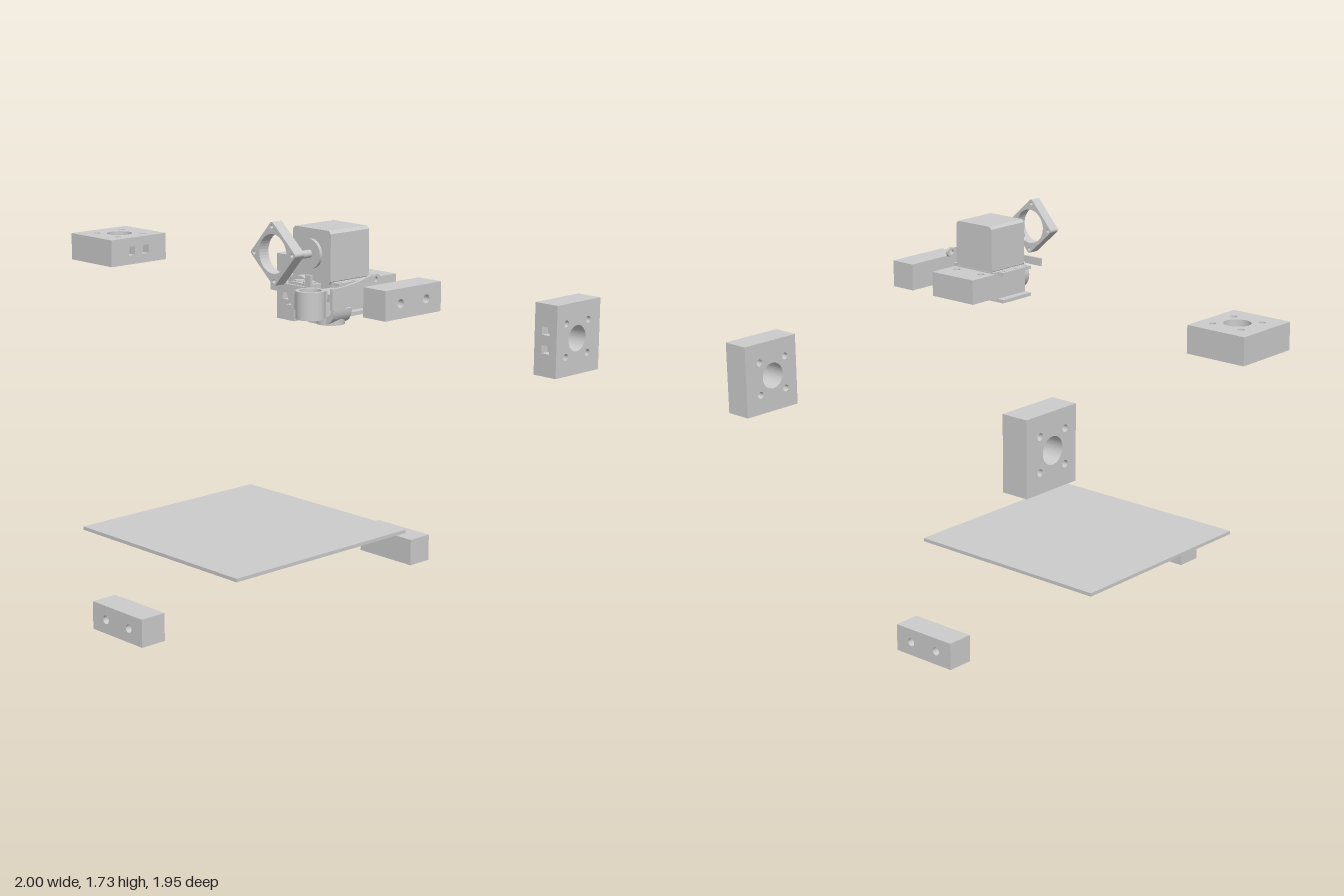
import * as THREE from 'three';

const mat = new THREE.MeshStandardMaterial({ color: 0xcccccc, side: THREE.DoubleSide });

function add(parent, name, geo, x = 0, y = 0, z = 0) {
  const m = new THREE.Mesh(geo, mat);
  m.name = name;
  m.position.set(x, y, z);
  parent.add(m);
  return m;
}

// box given by its limits on each axis
function span(parent, name, [x0, x1], [y0, y1], [z0, z1]) {
  return add(parent, name, new THREE.BoxGeometry(x1 - x0, y1 - y0, z1 - z0),
    (x0 + x1) / 2, (y0 + y1) / 2, (z0 + z1) / 2);
}

function rect(x0, x1, y0, y1, Type = THREE.Shape) {
  const s = new Type();
  s.moveTo(x0, y0); s.lineTo(x1, y0); s.lineTo(x1, y1); s.lineTo(x0, y1); s.closePath();
  return s;
}

const circle = (x, y, r) => new THREE.Path().absarc(x, y, r, 0, Math.PI * 2, true);

function slab(shape, depth, holes = []) {
  shape.holes.push(...holes);
  return new THREE.ExtrudeGeometry(shape, { depth, bevelEnabled: false, curveSegments: 20 });
}

// cylinder along z
const rod = (r, len) => new THREE.CylinderGeometry(r, r, len, 32).rotateX(Math.PI / 2);

// square mount: one big bore, four bolt holes, two nut pockets in the +x edge
function motorMount(name) {
  const g = new THREE.Group();
  g.name = name;
  const c = 0.0075, d = 0.072;
  const holes = [circle(c, 0, 0.057)];
  for (const a of [-d, d]) for (const b of [-d, d]) holes.push(circle(c + a, b, 0.015));
  add(g, 'mountBody', slab(rect(-0.1425, 0.1025, -0.157, 0.157), 0.12, holes), 0, 0, -0.06);
  const pockets = [-0.04, 0.04].map(b => rect(-0.02, 0.02, b - 0.018, b + 0.018, THREE.Path));
  add(g, 'pocketFace', slab(rect(-0.06, 0.06, -0.157, 0.157), 0.04, pockets).rotateY(Math.PI / 2), 0.1025);
  return g;
}

// bar with two blind holes in its +z face
function holder(name) {
  const g = new THREE.Group();
  g.name = name;
  span(g, 'holderBody', [-0.158, 0.158], [-0.06, 0.06], [-0.06, 0.02]);
  add(g, 'holderFace', slab(rect(-0.158, 0.158, -0.06, 0.06), 0.04,
    [circle(-0.073, 0, 0.018), circle(0.073, 0, 0.018)]), 0, 0, 0.02);
  return g;
}

function createToolhead() {
  const g = new THREE.Group();
  g.name = 'toolhead';

  // carriage with two bolt holes in its rear shelf
  const shelf = rect(0.455, 0.70, -0.12, 0.025);
  add(g, 'carriageShelf', slab(shelf, 0.11, [circle(0.505, -0.08, 0.017), circle(0.65, -0.08, 0.017)])
    .rotateX(-Math.PI / 2), 0, 1.36, 0);
  span(g, 'carriageBody', [0.465, 0.695], [1.35, 1.475], [0.12, 0.33]);
  span(g, 'carriageBase', [0.43, 0.73], [1.337, 1.352], [0.145, 0.33]);
  for (const x of [0.445, 0.715]) {
    const holes = [-0.07, 0, 0.07].map(z => circle(0, z, 0.008));
    add(g, 'clampFlange', slab(rect(-0.015, 0.015, -0.093, 0.093), 0.014, holes).rotateX(-Math.PI / 2), x, 1.462, 0.238);
  }

  // motor with chamfered long edges
  const h = 0.107, k = 0.012;
  const sq = new THREE.Shape([[-h, -h + k], [-h + k, -h], [h - k, -h], [h, -h + k], [h, h - k], [h - k, h], [-h + k, h], [-h, h - k]]
    .map(p => new THREE.Vector2(...p)));
  add(g, 'motor', slab(sq, 0.215), 0.583, 1.573, 0.122);
  add(g, 'motorBoss', rod(0.06, 0.015), 0.583, 1.58, 0.343);
  add(g, 'motorShaft', rod(0.016, 0.11), 0.583, 1.58, 0.39);

  // diamond fan frame
  const s = 0.092, r = 0.012;
  const frame = new THREE.Shape();
  [[1, 1, 0], [-1, 1, 1], [-1, -1, 2], [1, -1, 3]].forEach(([x, y, q]) =>
    frame.absarc(x * (s - r), y * (s - r), r, q * Math.PI / 2, (q + 1) * Math.PI / 2));
  const fanHoles = [circle(0, 0, 0.078)];
  for (const x of [-1, 1]) for (const y of [-1, 1]) fanHoles.push(circle(x * 0.076, y * 0.076, 0.008));
  add(g, 'fanFrame', slab(frame, 0.05, fanHoles), 0.59, 1.603, 0.505).rotation.z = Math.PI / 4 + 0.06;

  // hot end, filament guide and nozzle
  add(g, 'guideDrum', rod(0.07, 0.05), 0.545, 1.42, 0.345);
  span(g, 'hotEndBlock', [0.56, 0.70], [1.37, 1.43], [0.33, 0.38]);
  add(g, 'hotEnd', new THREE.CylinderGeometry(0.025, 0.025, 0.1, 24), 0.63, 1.43, 0.395);
  add(g, 'nozzle', new THREE.CylinderGeometry(0.022, 0.008, 0.045, 24), 0.63, 1.352, 0.395);
  add(g, 'idler', new THREE.CylinderGeometry(0.02, 0.02, 0.12, 20), 0.575, 1.42, 0.395);
  span(g, 'idlerBracket', [0.555, 0.67], [1.45, 1.475], [0.37, 0.425]);

  // ring cup in front and the blower cup behind it
  add(g, 'sensorRing', slab(new THREE.Shape().absarc(0, 0, 0.058, 0, Math.PI * 2), 0.11, [circle(0, 0, 0.044)])
    .rotateX(-Math.PI / 2), 0.77, 1.37, 0.525);
  add(g, 'blowerCup', new THREE.CylinderGeometry(0.057, 0.057, 0.12, 32), 0.765, 1.395, 0.41);
  span(g, 'blowerCap', [0.705, 0.82], [1.43, 1.46], [0.35, 0.46]);
  span(g, 'ringBracket', [0.49, 0.80], [1.44, 1.475], [0.463, 0.475]);
  span(g, 'ringTab', [0.69, 0.72], [1.46, 1.525], [0.465, 0.477]);

  // hooked duct under the cups
  const duct = new THREE.Shape();
  duct.moveTo(0.69, 1.335);
  duct.lineTo(0.77, 1.335);
  duct.quadraticCurveTo(0.833, 1.34, 0.833, 1.40);
  duct.lineTo(0.82, 1.40);
  duct.quadraticCurveTo(0.815, 1.365, 0.77, 1.365);
  duct.lineTo(0.69, 1.365);
  add(g, 'airDuct', slab(duct, 0.1), 0, 0, 0.36);

  // thin side arm, drawn in z and y
  const arm = new THREE.Shape();
  arm.moveTo(0.47, 1.40);
  arm.lineTo(0.47, 1.485);
  arm.quadraticCurveTo(0.36, 1.485, 0.25, 1.515);
  arm.absarc(0.225, 1.495, 0.022, 0.8, -1.6 + Math.PI * 2, false);
  arm.quadraticCurveTo(0.34, 1.46, 0.40, 1.40);
  add(g, 'sideArm', slab(arm, 0.012, [circle(0.23, 1.495, 0.011)]).rotateY(-Math.PI / 2), 0.835);
  return g;
}

export function createModel() {
  const model = new THREE.Group();
  model.name = 'printerParts';

  span(model, 'bedPlate', [-0.43, 0.555], [0.291, 0.306], [-0.26, 0.72]);

  const place = (part, x, y, z, rx = 0, ry = 0) => {
    part.position.set(x, y, z);
    part.rotation.set(rx, ry, 0);
    model.add(part);
  };

  // lower holders, front and rear, and the side holder
  place(holder('frontHolder'), 0.106, 0.06, 0.913);
  place(holder('rearHolder'), 0.106, 0.06, -0.666, 0, Math.PI);
  place(holder('sideHolder'), 0.906, 1.416, 0.153, 0, Math.PI / 2);

  // flat mount and the two upright mounts
  place(motorMount('flatMount'), -0.8575, 1.415, 0.153, Math.PI / 2);
  place(motorMount('rightMount'), -0.652, 1.148, -0.835, 0, -Math.PI / 2);
  place(motorMount('leftMount'), 0.94, 1.133, -0.835, 0, -Math.PI / 2);

  model.add(createToolhead());
  return model;
}
